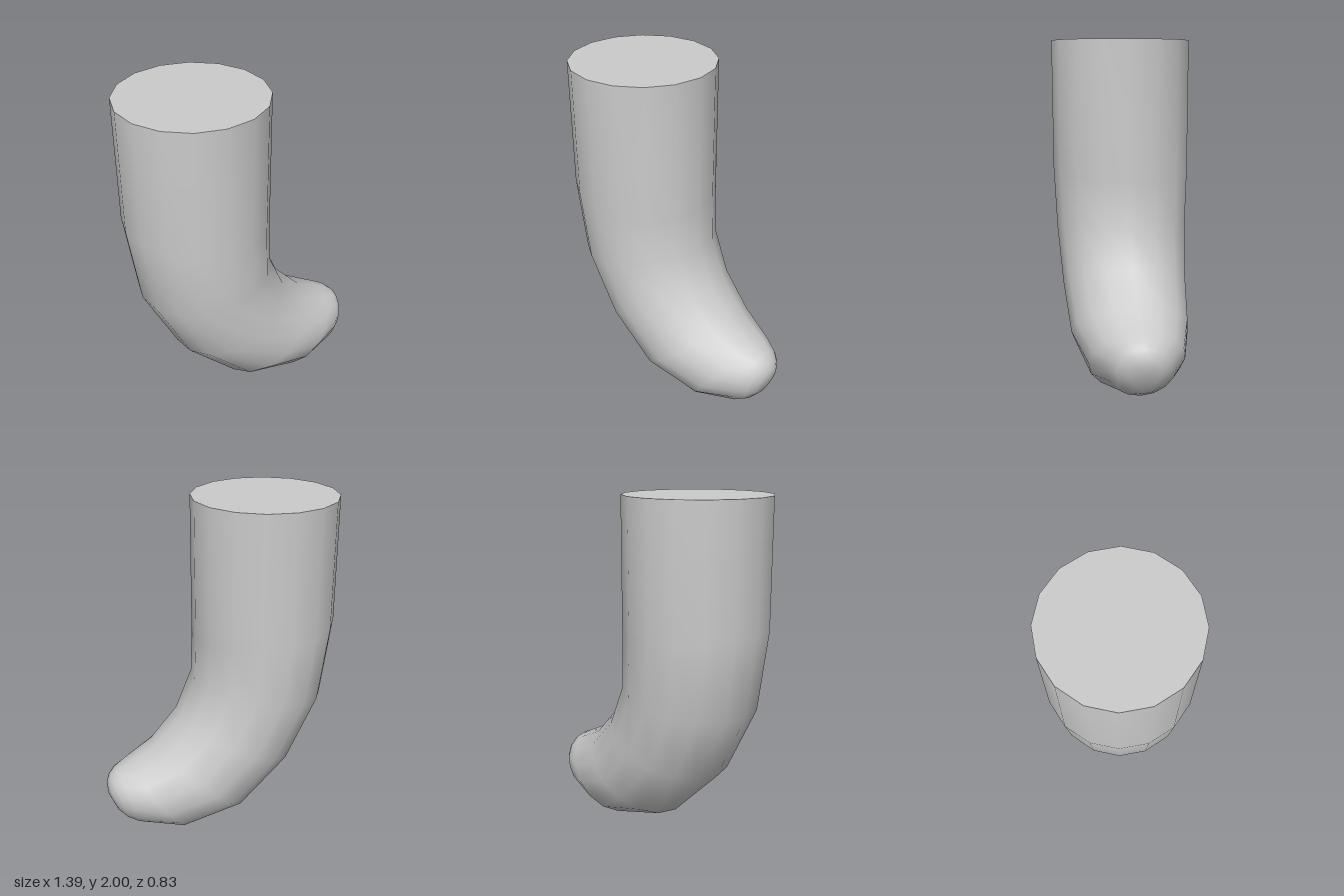
import * as THREE from 'three';

const SIDES = 16;

// Cross-sections from the top down to the tip:
// [outer x, outer y, inner x, inner y, half width in z]
const SECTIONS = [
  [-0.70, 2.00, 0.13, 2.00, 0.415],
  [-0.70, 1.28, 0.13, 1.20, 0.412],
  [-0.635, 0.81, 0.138, 0.94, 0.395],
  [-0.44, 0.41, 0.235, 0.72, 0.372],
  [-0.14, 0.115, 0.40, 0.545, 0.345],
  [0.235, 0.005, 0.57, 0.46, 0.272],
  [0.53, 0.08, 0.635, 0.43, 0.19],
  [0.595, 0.115, 0.672, 0.395, 0.145],
  [0.645, 0.17, 0.693, 0.35, 0.09],
];
const TIP = [0.692, 0.28, 0];

// Smooth tube skinned over the sections, closed at the tip
function bentBody() {
  const positions = [], index = [];
  for (const [ox, oy, ix, iy, w] of SECTIONS) {
    for (let j = 0; j < SIDES; j++) {
      const a = (j / SIDES) * Math.PI * 2, c = Math.cos(a);
      positions.push(
        (ox + ix) / 2 + c * (ix - ox) / 2,
        (oy + iy) / 2 + c * (iy - oy) / 2,
        Math.sin(a) * w);
    }
  }
  const last = SECTIONS.length - 1, tip = SECTIONS.length * SIDES;
  positions.push(...TIP);
  for (let j = 0; j < SIDES; j++) {
    const k = (j + 1) % SIDES;
    for (let i = 0; i < last; i++) {
      const a = i * SIDES + j, b = i * SIDES + k;
      index.push(a, b, a + SIDES, b, b + SIDES, a + SIDES);
    }
    index.push(last * SIDES + j, last * SIDES + k, tip);
  }
  const geometry = new THREE.BufferGeometry();
  geometry.setAttribute('position', new THREE.Float32BufferAttribute(positions, 3));
  geometry.setIndex(index);
  geometry.computeVertexNormals();
  return geometry;
}

export function createModel() {
  const group = new THREE.Group();
  group.name = 'bentLimb';
  const material = new THREE.MeshStandardMaterial({ color: 0xcccccc });

  const body = new THREE.Mesh(bentBody(), material);
  body.name = 'bentBody';
  group.add(body);

  // Flat top with a sharp rim
  const cap = new THREE.Mesh(new THREE.CircleGeometry(0.415, SIDES).rotateX(-Math.PI / 2), material);
  cap.name = 'topCap';
  cap.position.set(-0.285, 2, 0);
  group.add(cap);

  return group;
}
